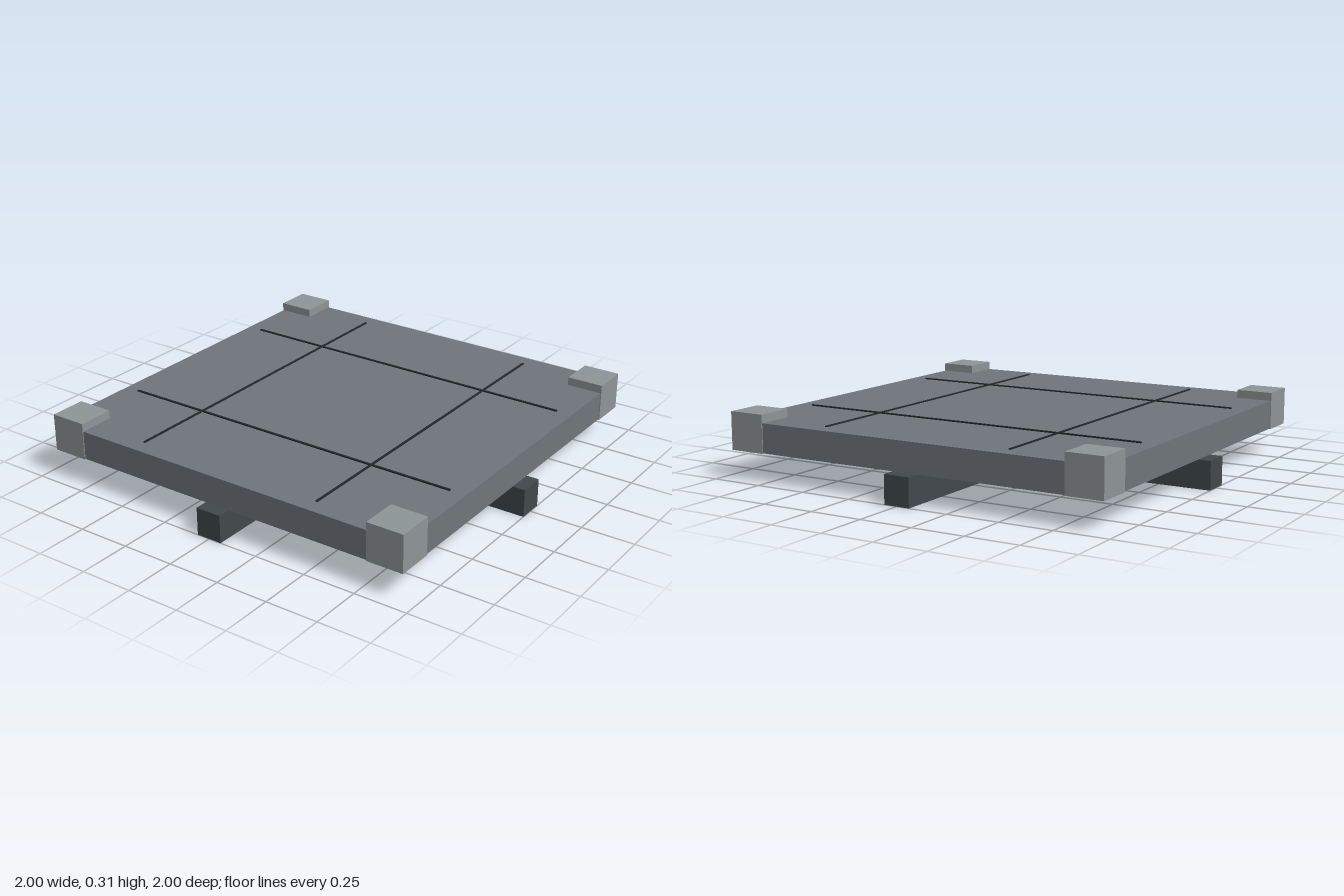
import * as THREE from 'three';

const paint = (color) => new THREE.MeshStandardMaterial({ color });
const steel = paint(0x70767c);
const blockGrey = paint(0x8f9698);
const beamGrey = paint(0x42494c);
const seamDark = paint(0x25282a);

export function createModel() {
  const model = new THREE.Group();

  // Box spanning the heights y0 to y1, centred on (x, z)
  const addBox = (name, material, [w, d], [y0, y1], x = 0, z = 0) => {
    const mesh = new THREE.Mesh(new THREE.BoxGeometry(w, y1 - y0, d), material);
    mesh.position.set(x, (y0 + y1) / 2, z);
    mesh.name = name;
    model.add(mesh);
  };

  // Crossed support beams
  const beamHeights = [0, 0.132];
  addBox('beamAcross', beamGrey, [2, 0.125], beamHeights);
  for (const s of [-1, 1]) {
    addBox(s > 0 ? 'beamFront' : 'beamBack', beamGrey, [0.125, 0.9375], beamHeights, 0, s * 0.53125);
  }

  // Square deck
  addBox('deck', steel, [1.88, 1.88], [0.132, 0.268]);

  // Panel seams, slightly raised
  for (const s of [-1, 1]) {
    addBox('seamAcross', seamDark, [1.73, 0.01], [0.264, 0.274], 0, s * 0.47);
    addBox('seamAlong', seamDark, [0.01, 1.73], [0.264, 0.2735], s * 0.47, 0);
  }

  // Corner blocks
  for (const x of [-1, 1]) {
    for (const z of [-1, 1]) {
      addBox('cornerBlock', blockGrey, [0.176, 0.176], [0.13, 0.307], x * 0.856, z * 0.856);
    }
  }

  return model;
}
